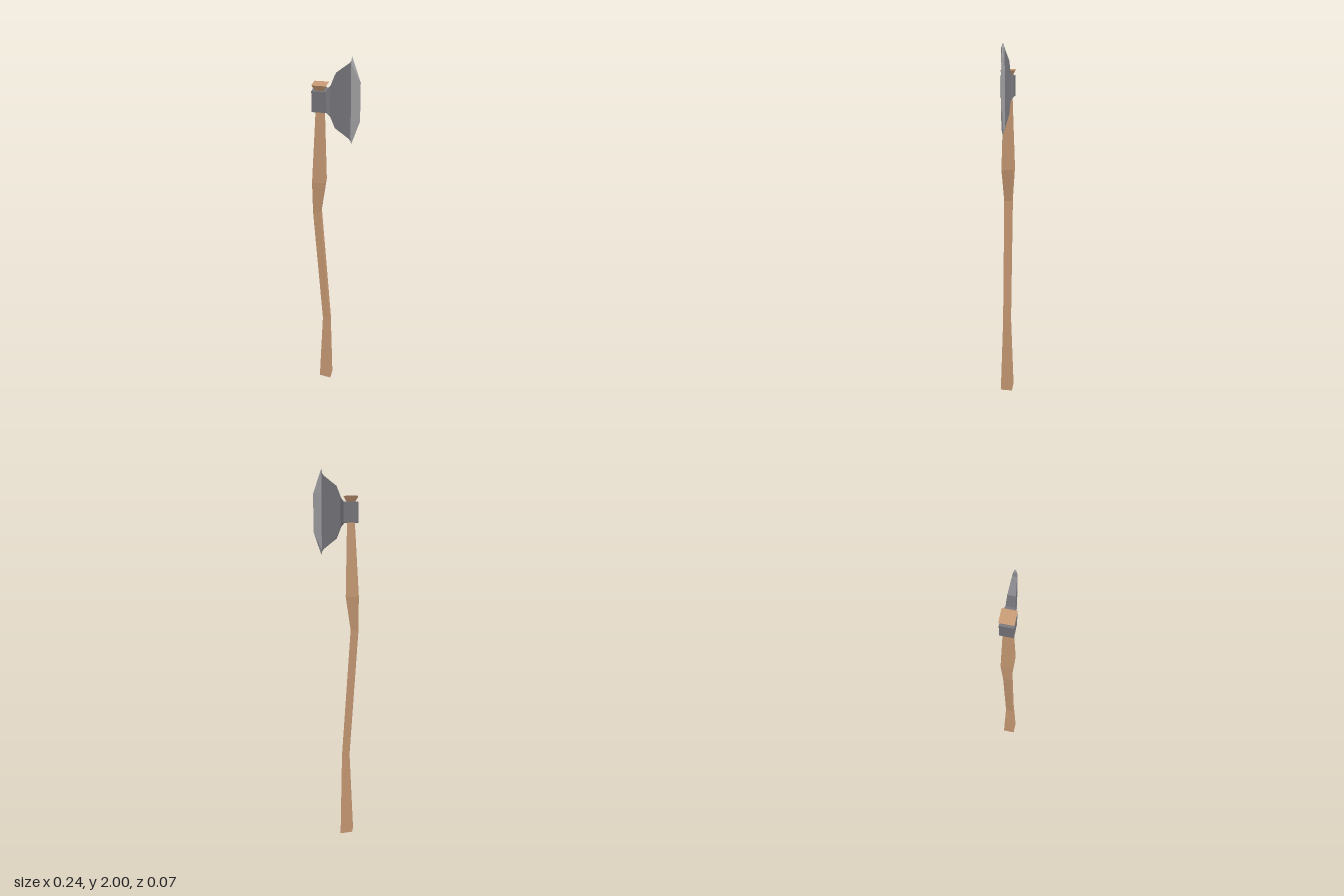
import * as THREE from 'three';

const material = (color) => new THREE.MeshStandardMaterial({ color, flatShading: true, roughness: 0.8 });

// Joins rings of equal point count, each counter-clockwise seen from the far end, and caps both ends
function loft(name, rings, mat) {
  const pos = [];
  const quad = (a, b, c, d) => pos.push(...a, ...b, ...c, ...a, ...c, ...d);
  const n = rings[0].length;
  for (let r = 0; r < rings.length - 1; r++) {
    const a = rings[r], b = rings[r + 1];
    for (let i = 0; i < n; i++) {
      const j = (i + 1) % n;
      quad(a[i], a[j], b[j], b[i]);
    }
  }
  const first = rings[0], last = rings[rings.length - 1];
  for (let i = 0; i < n / 2 - 1; i++) {
    quad(last[i], last[i + 1], last[n - 2 - i], last[n - 1 - i]);
    quad(first[n - 1 - i], first[n - 2 - i], first[i + 1], first[i]);
  }
  const geo = new THREE.BufferGeometry();
  geo.setAttribute('position', new THREE.Float32BufferAttribute(pos, 3));
  geo.computeVertexNormals();
  const mesh = new THREE.Mesh(geo, mat);
  mesh.name = name;
  return mesh;
}

// Rectangular handle section; tilt lowers the +x side
const handleRing = ([y, x0, x1, z, tilt = 0]) => [
  [x0, y + tilt, z], [x1, y - tilt, z], [x1, y - tilt, -z], [x0, y + tilt, -z],
];

// Blade section: an outline of [x, y] points, bottom to top, given thickness 2z
const bladeRing = (outline, z) => [
  ...outline.map(([x, y]) => [x, y, -z]),
  ...outline.map(([x, y]) => [x, y, z]).reverse(),
];

export function createModel() {
  const group = new THREE.Group();
  const wood = material(0xc99b75);
  const iron = material(0x77777c);
  const steel = material(0xa2a2a4);

  // Curved wooden handle: y, left x, right x, half depth, tilt
  group.add(loft('handle', [
    [0.01, -0.095, -0.03, 0.033, 0.006],
    [0.45, -0.075, -0.036, 0.02],
    [1.15, -0.122, -0.082, 0.021],
    [1.33, -0.122, -0.056, 0.032],
    [1.72, -0.1, -0.061, 0.021],
    [1.835, -0.098, -0.06, 0.02],
  ].map(handleRing), wood));

  // Flared wedge above the head
  group.add(loft('handleWedge', [
    [1.825, -0.097, -0.06, 0.02],
    [1.858, -0.116, -0.043, 0.036],
  ].map(handleRing), wood));

  // Socket around the handle
  const socket = new THREE.Mesh(new THREE.BoxGeometry(0.074, 0.108, 0.068), iron);
  socket.name = 'socket';
  socket.position.set(-0.08, 1.775, 0);
  group.add(socket);

  // Blade body, widening and thinning outwards: x, bottom, top, half thickness
  group.add(loft('blade', [
    [-0.043, 1.721, 1.829, 0.034],
    [-0.027, 1.7, 1.85, 0.022],
    [-0.003, 1.638, 1.912, 0.019],
    [0.063, 1.585, 1.965, 0.011],
    [0.075, 1.57, 1.98, 0.009],
  ].map(([x, y0, y1, z]) => bladeRing([[x, y0], [x, y1]], z)), iron));

  // Sharpened bevel with pointed corners
  group.add(loft('cuttingEdge', [
    bladeRing([[0.073, 1.575], [0.075, 1.68], [0.075, 1.87], [0.073, 1.975]], 0.0095),
    bladeRing([[0.077, 1.55], [0.12, 1.675], [0.12, 1.875], [0.077, 2.0]], 0.003),
  ], steel));

  return group;
}
